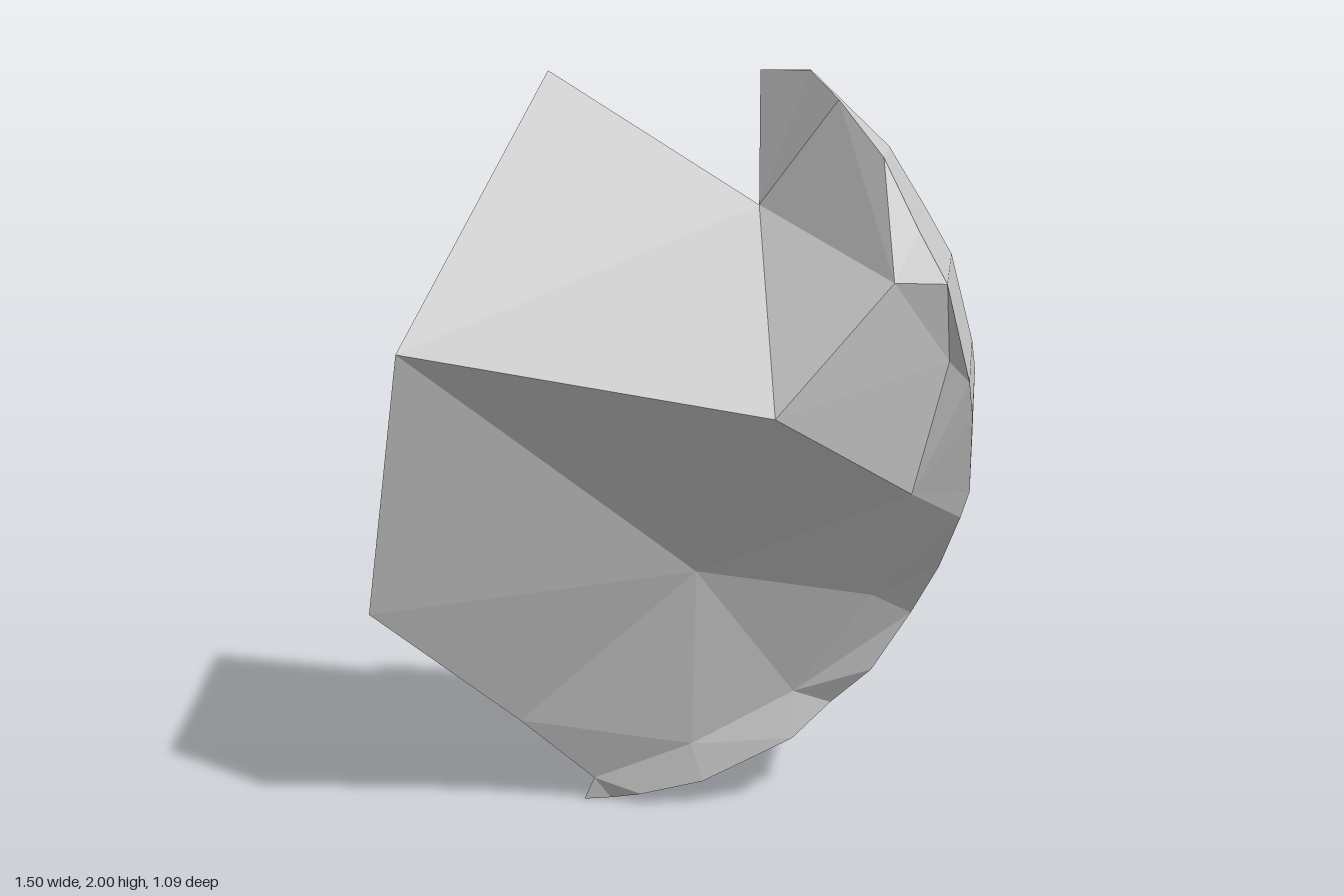
import * as THREE from 'three';

// Curved outer edge, from the top tip clockwise to the foot: x, y, front z, back z
const rim = [
  [0.21, 2.0, 0.12, 0.12], [0.33, 2.0, 0.12, 0.1], [0.4, 1.93, 0.11, 0.07],
  [0.52, 1.81, 0.26, 0.02], [0.61, 1.65, 0.33, -0.07], [0.68, 1.53, 0.35, -0.08],
  [0.74, 1.28, 0.28, -0.21], [0.75, 1.2, 0.29, -0.24], [0.75, 1.0, 0.25, -0.31],
  [0.73, 0.93, 0.24, -0.31], [0.68, 0.76, 0.12, -0.35], [0.61, 0.6, 0.03, -0.41],
  [0.51, 0.43, 0.02, -0.44], [0.4, 0.31, -0.03, -0.46], [0.3, 0.21, 0, -0.34],
  [0.06, 0.08, 0.03, -0.28], [-0.11, 0.03, 0.03, -0.27], [-0.2, 0, 0, -0.17],
  [-0.27, 0, 0.02, 0.02],
];
const front = rim.map(([x, y, z]) => [x, y, z]);
const back = rim.map(([x, y, , z]) => [x, y, z]);

// Corners shared by the broken faces
const peak = [-0.32, 1.99, 0.095], notch = [0.2, 1.66, 0.03];
const brow = [-0.6, 1.36, 0.54], side = [-0.75, 0.64, 0.37];
const hip = [-0.42, 0.27, 0.13], foot = [-0.24, 0.07, 0.03];

// Fan of triangles round a corner; the ring runs clockwise as seen from the front
function fan(out, centre, ring, facesFront) {
  for (let i = 0; i < ring.length - 1; i++) {
    const [a, b] = facesFront ? [ring[i + 1], ring[i]] : [ring[i], ring[i + 1]];
    out.push(...centre, ...a, ...b);
  }
}

function facetedMesh(name, positions) {
  const geometry = new THREE.BufferGeometry();
  geometry.setAttribute('position', new THREE.Float32BufferAttribute(positions, 3));
  geometry.computeVertexNormals();
  const mesh = new THREE.Mesh(
    geometry,
    new THREE.MeshStandardMaterial({ color: 0xcccccc, flatShading: true })
  );
  mesh.name = name;
  return mesh;
}

// Front: an overhanging brow above a hollow
function frontFace() {
  const ridge = [0.3, 1.235, 0.53], hollow = [0.06, 0.725, 0.15];
  const shoulder = [0.56, 1.54, 0.41], spur = [0.69, 1.33, 0.28];
  const elbow = [0.61, 0.99, 0.26], dent = [0.51, 0.65, 0.05];
  const chip = [0.3, 0.34, -0.02], toe = [0.03, 0.19, 0.03];
  const out = [];
  const fans = [
    [hollow, [brow, ridge, elbow, dent, chip, toe, hip, side, brow]],
    [ridge, [brow, notch, shoulder, spur, elbow]],
    [notch, [brow, peak]],
    [notch, front.slice(0, 3)],
    [shoulder, [notch, ...front.slice(2, 6), spur]],
    [spur, front.slice(5, 7)],
    [elbow, [spur, ...front.slice(6, 10), dent]],
    [dent, [...front.slice(9, 12), chip]],
    [chip, [...front.slice(11, 15), toe]],
    [toe, [...front.slice(14, 16), foot, hip]],
    [foot, front.slice(15)],
  ];
  for (const [centre, ring] of fans) fan(out, centre, ring, true);
  return facetedMesh('frontFace', out);
}

// Back: broad facets round two raised corners
function backFace() {
  const crown = [-0.32, 1.17, -0.25], saddle = [0.37, 1.24, -0.19];
  const bulge = [0.26, 0.68, -0.55], heel = [0.37, 0.35, -0.47];
  const hock = [0.17, 0.27, -0.33], keel = [-0.23, 0.41, -0.27];
  const sole = [-0.08, 0.15, -0.26];
  const out = [];
  const fans = [
    [crown, [side, brow, peak, notch, saddle, bulge, keel, hip, side]],
    [saddle, [notch, ...back.slice(0, 9), bulge]],
    [bulge, [...back.slice(8, 13), heel, hock, keel]],
    [heel, [...back.slice(12, 15), hock]],
    [hock, [...back.slice(14, 16), sole, keel]],
    [sole, [...back.slice(15), foot, keel]],
    [keel, [foot, hip]],
  ];
  for (const [centre, ring] of fans) fan(out, centre, ring, false);
  return facetedMesh('backFace', out);
}

// Outer edge: a band joining the front and back outlines
function outerEdge() {
  const out = [];
  for (let i = 0; i < rim.length - 1; i++) {
    out.push(...front[i], ...front[i + 1], ...back[i + 1]);
    out.push(...front[i], ...back[i + 1], ...back[i]);
  }
  return facetedMesh('outerEdge', out);
}

export function createModel() {
  const group = new THREE.Group();
  group.name = 'rockShard';
  group.add(frontFace(), backFace(), outerEdge());
  return group;
}
